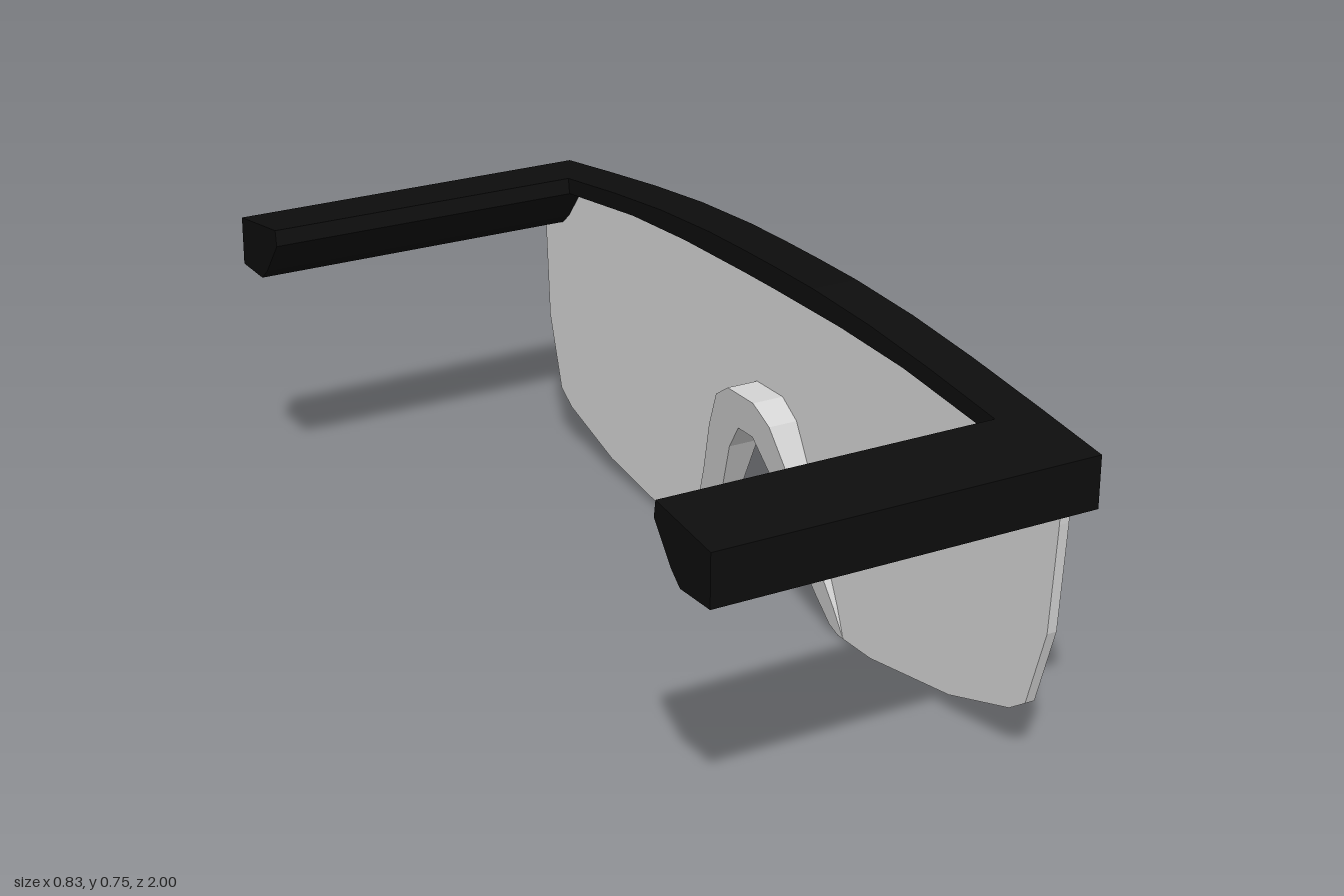
import * as THREE from 'three';

// Mirrors half an outline (z, y) across z = 0, keeping the point order continuous
const mirror = (half) => [...half, ...half.slice().reverse().map(([z, y]) => [-z, y])];

// Extrudes a (z, y) outline along x, starting at x0
function extrudeX(points, x0, depth, options = {}) {
  const shape = new THREE.Shape(points.map(([z, y]) => new THREE.Vector2(-z, y)));
  const geometry = new THREE.ExtrudeGeometry(shape, { depth, bevelEnabled: false, ...options });
  geometry.rotateY(Math.PI / 2);
  geometry.translate(x0, 0, 0);
  return geometry;
}

// Changes the x of every vertex by a rule
function reshapeX(geometry, rule) {
  const p = geometry.attributes.position;
  for (let i = 0; i < p.count; i++) p.setX(i, rule(p.getX(i), p.getY(i)));
  geometry.computeVertexNormals();
  return geometry;
}

export function createModel() {
  const group = new THREE.Group();
  const black = new THREE.MeshStandardMaterial({ color: 0x0d0d0d });
  black.name = 'black frame';
  const grey = new THREE.MeshStandardMaterial({ color: 0xd4d4d4 });
  grey.name = 'pale grey lens';

  const add = (name, geometry, material) => {
    const mesh = new THREE.Mesh(geometry, material);
    mesh.name = name;
    group.add(mesh);
  };

  // Brow bar: arched top edge, thin in the middle, deep at both corners
  const browTop = [[1, 0.665], [0.815, 0.69], [0.6, 0.717], [0.4, 0.737], [0.2, 0.748], [0.06, 0.75]];
  const browBottom = [[0.06, 0.702], [0.3, 0.699], [0.52, 0.688], [0.81, 0.655], [0.87, 0.58], [0.9, 0.555], [1, 0.557]];
  const brow = [...mirror(browTop), ...mirror(browBottom.slice().reverse()).reverse()];
  add('browBar', extrudeX(brow, 0.31, 0.105), black);

  // Temples: the corner section of the brow carried straight back
  const section = [[1, 0.665], [0.815, 0.69], [0.81, 0.655], [0.87, 0.58], [0.9, 0.555], [1, 0.557]];
  for (const side of [1, -1]) {
    const points = section.map(([z, y]) => [side * z, y]);
    add(side > 0 ? 'leftTemple' : 'rightTemple', extrudeX(points, -0.415, 0.727), black);
  }

  // Nose cut-out, from the lower rim up to its top
  const notch = [[0.28, 0], [0.25, 0.014], [0.206, 0.07], [0.13, 0.195], [0.078, 0.305], [0.028, 0.368]];

  // Lens: one wide shield with a shallow bevel on the front and a flat back
  const lensSide = [[0, 0.73], [0.8, 0.672], [0.984, 0.6], [0.983, 0.535], [0.967, 0.305],
    [0.914, 0.135], [0.866, 0.103], [0.673, 0.042], [0.4, 0]];
  const half = [...lensSide, ...notch];
  const outline = mirror(half).slice(0, -1);
  const back = 0.341;
  const lens = extrudeX(outline, back, 0.022, {
    bevelEnabled: true, bevelThickness: 0.009, bevelSize: 0.02, bevelOffset: -0.02, bevelSegments: 1,
  });
  add('lens', reshapeX(lens, (x) => Math.max(x, back)), grey);

  // Nose bridge: an arch around the cut-out, deeper towards the top
  const arch = [[0.3, 0], [0.275, 0.065], [0.21, 0.2], [0.155, 0.33], [0.105, 0.42], [0.05, 0.455]];
  const bridge = extrudeX([...mirror(arch), ...mirror(notch).reverse()], back - 0.1, 0.1);
  add('noseBridge', reshapeX(bridge, (x, y) => (x > back - 0.05 ? back : back - 0.16 * y)), grey);

  return group;
}
